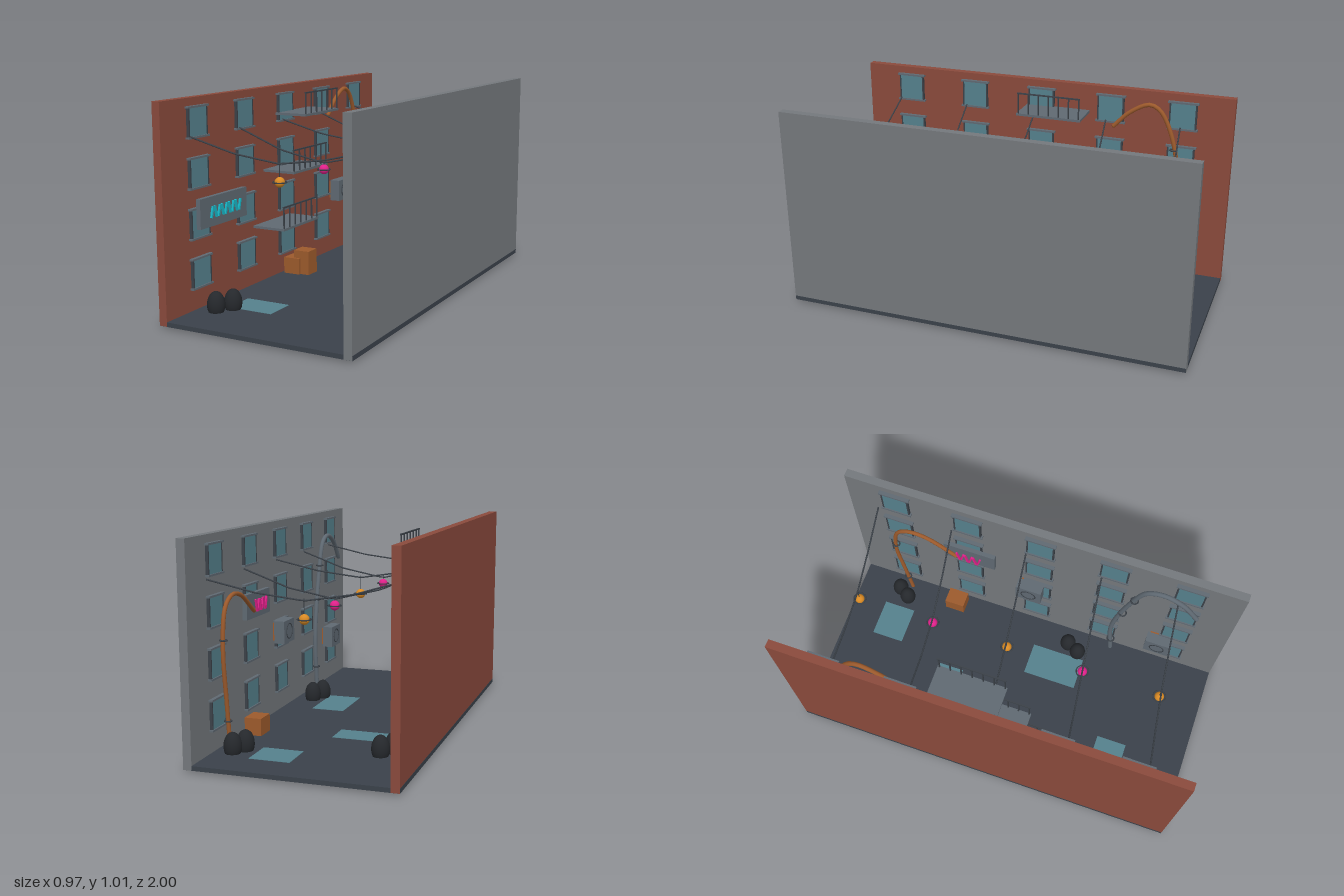
import * as THREE from 'three';

const mats = {};
const mat = (c, side = THREE.FrontSide) => (mats[c + '_' + side] ??= new THREE.MeshStandardMaterial({ color: c, side }));
const BRICK = 0x8a4a3c, WALL = 0x74787c, GROUND = 0x3a414a, COPPER = 0x9c5a2c, METAL = 0x5f6972,
  GLASS = 0x55808c, PINK = 0xe0218a, AMBER = 0xd98a24, BAG = 0x25282c, NEON = 0x18b4c4, LEAF = 0x3f6b3a, DARK = 0x3b4148;

export function createModel() {
  const root = new THREE.Group();

  const add = (name, geo, color, x = 0, y = 0, z = 0, parent = root) => {
    const m = new THREE.Mesh(geo, mat(color));
    m.name = name;
    m.position.set(x, y, z);
    parent.add(m);
    return m;
  };
  // box given by its min and max on each axis
  const span = (name, color, x0, x1, y0, y1, z0, z1, parent = root) =>
    add(name, new THREE.BoxGeometry(x1 - x0, y1 - y0, z1 - z0), color, (x0 + x1) / 2, (y0 + y1) / 2, (z0 + z1) / 2, parent);
  const group = (name) => {
    const g = new THREE.Group();
    g.name = name;
    root.add(g);
    return g;
  };

  // street and side walls
  span('ground', GROUND, -0.4855, 0.4855, 0.01, 0.031, -0.9995, 0.9995);
  span('brickWall', BRICK, -0.485, -0.445, 0.0105, 1.01, -1, 1);
  span('plainWall', WALL, 0.445, 0.485, 0.0105, 1.01, -1, 1);

  // windows: glass, frame, lintel and sill on both walls
  const paneGeo = new THREE.BoxGeometry(0.012, 0.13, 0.125);
  const jambGeo = new THREE.BoxGeometry(0.014, 0.135, 0.008);
  const sillGeo = new THREE.BoxGeometry(0.02, 0.009, 0.155);
  for (const s of [-1, 1]) {
    for (const y of [0.205, 0.437, 0.669, 0.9]) {
      for (let i = -2; i <= 2; i++) {
        const w = group('window');
        w.position.set(s * 0.438, y, i * 0.373);
        add('windowGlass', paneGeo, GLASS, 0, 0, 0, w);
        for (const e of [-1, 1]) {
          add('windowJamb', jambGeo, DARK, 0, 0, e * 0.066, w);
          add(e > 0 ? 'windowLintel' : 'windowSill', sillGeo, METAL, -s * 0.002, e * 0.069, 0, w);
        }
      }
    }
  }

  // fire escape landings with railings
  const landings = [[0.325, 0.13], [0.595, 0.03], [0.87, -0.09]];
  for (const [y, z] of landings) {
    const g = group('fireEscapeLanding');
    span('landingFloor', METAL, -0.445, -0.267, y - 0.006, y + 0.006, z - 0.17, z + 0.17, g);
    for (let i = 0; i < 7; i++) {
      const p = z - 0.16 + i * 0.32 / 6;
      span('railingPost', DARK, -0.275, -0.269, y, y + 0.112, p - 0.003, p + 0.003, g);
    }
    span('railingTop', DARK, -0.2755, -0.2685, y + 0.108, y + 0.115, z - 0.165, z + 0.165, g);
  }

  // drain pipes bent along the walls, with wall clamps
  const pipe = (name, color, x, r, pts, clamps) => {
    const curve = new THREE.CatmullRomCurve3(pts.map(([z, y]) => new THREE.Vector3(x, y, z)));
    add(name, new THREE.TubeGeometry(curve, 48, r, 10), color);
    for (const y of clamps) {
      const k = pts.findIndex((p) => p[1] > y);
      const [a, b] = [pts[k - 1], pts[k]];
      const z = a[0] + (b[0] - a[0]) * (y - a[1]) / (b[1] - a[1]);
      add('pipeClamp', new THREE.TorusGeometry(r + 0.006, 0.004, 6, 16).rotateX(Math.PI / 2), DARK, x, y, z);
    }
    // end caps
    for (const p of [pts[0], pts[pts.length - 1]]) add('pipeEnd', new THREE.SphereGeometry(r, 10, 8), color, x, p[1], p[0]);
  };
  pipe('copperPipe', COPPER, -0.409, 0.011,
    [[-0.68, 0.04], [-0.7, 0.33], [-0.737, 0.6], [-0.7, 0.8], [-0.635, 0.925], [-0.58, 0.95], [-0.48, 0.9], [-0.4, 0.82]], [0.165, 0.53, 0.725]);
  pipe('copperPipe', COPPER, 0.394, 0.01,
    [[-0.72, 0.04], [-0.745, 0.25], [-0.77, 0.5], [-0.74, 0.68], [-0.67, 0.728], [-0.58, 0.718], [-0.43, 0.62]], [0.165, 0.54]);
  pipe('steelPipe', METAL, 0.408, 0.012,
    [[0.44, 0.05], [0.42, 0.34], [0.49, 0.7], [0.55, 0.85], [0.63, 0.88], [0.73, 0.835], [0.81, 0.74]], [0.165, 0.54, 0.725]);

  // air conditioners with copper wall mounts
  const airUnit = (s, y, z) => {
    const g = group('airConditioner');
    g.position.set(s * 0.405, y, z);
    add('unitCase', new THREE.BoxGeometry(0.055, 0.115, 0.135), METAL, 0, 0, 0, g);
    add('unitMount', new THREE.BoxGeometry(0.016, 0.09, 0.11), COPPER, s * 0.034, 0, 0, g);
    add('unitFan', new THREE.TorusGeometry(0.038, 0.003, 6, 20).rotateY(Math.PI / 2), DARK, -s * 0.0275, 0, 0, g);
  };
  airUnit(-1, 0.385, -0.53);
  airUnit(1, 0.453, -0.035);
  airUnit(1, 0.297, 0.68);

  // signs: backing board with slanted glowing tubes
  const sign = (s, xBack, xTube, y, z, h, w, color, tubes, tubeSpan, tubeH) => {
    const g = group('neonSign');
    add('signBoard', new THREE.BoxGeometry(0.022, h, w), METAL, s * xBack, y, z, g);
    for (let i = 0; i < tubes; i++) {
      const t = add('signTube', new THREE.BoxGeometry(0.01, tubeH, 0.009), color,
        s * xTube, y, z + tubeSpan * (i / (tubes - 1) - 0.5), g);
      t.rotation.x = (i % 2 ? 1 : -1) * 0.25;
    }
  };
  sign(-1, 0.413, 0.391, 0.482, 0.605, 0.14, 0.37, NEON, 9, 0.22, 0.055);
  sign(1, 0.412, 0.387, 0.642, -0.36, 0.12, 0.27, PINK, 6, 0.11, 0.06);

  // overhead cables, each with a hanging lamp
  for (let i = 0; i < 5; i++) {
    const z = -0.79 + i * 0.386;
    const amber = i % 2 === 0;
    const [side, mid] = amber ? [0.773, 0.74] : [0.74, 0.69];
    const path = new THREE.CurvePath();
    const pts = [[-0.44, 0.84, 0.055], [-0.215, side, 0.027], [0, mid, 0], [0.215, side - 0.004, -0.026], [0.43, 0.82, -0.052]]
      .map(([x, y, dz]) => new THREE.Vector3(x, y, z + dz));
    for (let k = 0; k < 4; k++) path.add(new THREE.LineCurve3(pts[k], pts[k + 1]));
    add('cable', new THREE.TubeGeometry(path, 32, 0.004, 6), DARK);
    const g = group('hangingLamp');
    g.position.set(0, 0.66, z);
    add('lampGlobe', new THREE.SphereGeometry(0.023, 20, 14), amber ? AMBER : PINK, 0, 0, 0, g);
    add('lampRing', new THREE.TorusGeometry(0.03, 0.003, 6, 24).rotateX(Math.PI / 2), DARK, 0, 0, 0, g);
    const len = mid + 0.01 - 0.66;
    add('lampStem', new THREE.CylinderGeometry(0.002, 0.002, len, 6), DARK, 0, len / 2, 0, g);
  }

  // crates
  span('crate', COPPER, -0.425, -0.335, 0.03, 0.115, -0.04, 0.05);
  span('crate', COPPER, -0.374, -0.286, 0.03, 0.155, -0.05, 0.035);
  span('crate', COPPER, 0.338, 0.422, 0.03, 0.115, -0.5, -0.395);

  // rubbish bags in pairs
  const bagGeo = new THREE.SphereGeometry(0.042, 20, 16).scale(1, 1.52, 1);
  const bags = [[-0.33, -0.55], [-0.286, -0.612], [-0.345, 0.767], [-0.3, 0.696],
    [0.318, -0.72], [0.355, -0.775], [0.314, 0.28], [0.347, 0.216]];
  for (const [x, z] of bags) add('rubbishBag', bagGeo, BAG, x, 0.064, z);

  // puddles
  const puddles = [[0.06, 0.255, -0.83, -0.66], [-0.245, 0.012, -0.415, -0.28], [0.115, 0.285, 0.04, 0.325], [-0.33, -0.1, 0.53, 0.688]];
  for (const [x0, x1, z0, z1] of puddles) span('puddle', GLASS, x0, x1, 0.03, 0.0325, z0, z1);

  // ivy leaves climbing the brick wall
  const leafGeo = new THREE.SphereGeometry(0.014, 8, 6).scale(0.8, 0.4, 1.4);
  for (let i = 0; i < 10; i++) {
    add('ivyLeaf', leafGeo, LEAF, -0.433, 0.11 + i * 0.047, -0.775 + 0.06 * Math.sin(i * 2.3));
  }

  return root;
}
